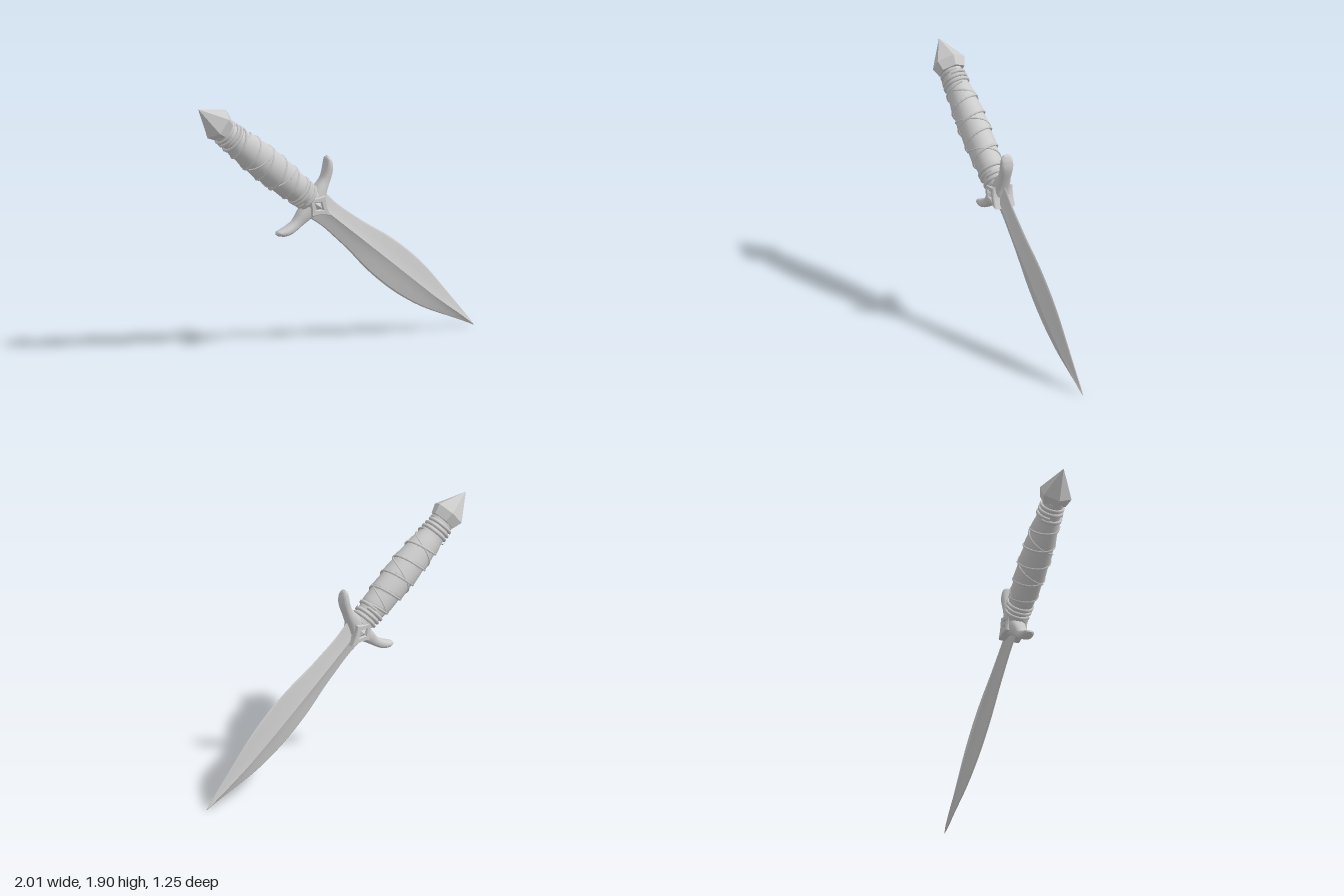
import * as THREE from 'three';
import { toCreasedNormals } from 'three/addons/utils/BufferGeometryUtils.js';

const grey = new THREE.MeshStandardMaterial({ color: 0xcccccc });
const faceted = new THREE.MeshStandardMaterial({ color: 0xcccccc, flatShading: true });

function add(parent, name, geometry, material = grey) {
  const mesh = new THREE.Mesh(geometry, material);
  mesh.name = name;
  parent.add(mesh);
  return mesh;
}

// Skin a row of closed rings and cap both ends.
function loft(rings, crease) {
  const n = rings[0].length, pos = [], index = [];
  rings.forEach((ring) => ring.forEach((p) => pos.push(...p)));
  for (let i = 0; i < rings.length - 1; i++) {
    for (let j = 0; j < n; j++) {
      const a = i * n + j, b = i * n + (j + 1) % n;
      index.push(a, b, a + n, b, b + n, a + n);
    }
  }
  const last = (rings.length - 1) * n;
  for (let j = 1; j < n - 1; j++) {
    index.push(0, j + 1, j, last, last + j, last + j + 1);
  }
  const geo = new THREE.BufferGeometry();
  geo.setAttribute('position', new THREE.Float32BufferAttribute(pos, 3));
  geo.setIndex(index);
  return toCreasedNormals(geo, crease);
}

const smooth = (stations, count) =>
  new THREE.CatmullRomCurve3(stations.map((s) => new THREE.Vector3(...s))).getPoints(count);

// Grip swell along the dagger's length.
const gripStart = -1.25, gripEnd = -0.27, flatten = 0.88;
function gripRadius(x) {
  const t = THREE.MathUtils.clamp((x + 1.2) / 0.9, 0, 1);
  return 0.086 + 0.032 * Math.sin(Math.PI * t);
}

// Cord wound on the grip; turns = 0 would be a straight line.
function cord(x0, x1, turns, phase, radius, lift) {
  const pts = [];
  const steps = Math.ceil(Math.abs(turns) * 24);
  for (let i = 0; i <= steps; i++) {
    const t = i / steps, x = x0 + (x1 - x0) * t;
    const a = phase + t * turns * Math.PI * 2, r = gripRadius(x) + lift;
    pts.push(new THREE.Vector3(x, r * Math.cos(a), r * Math.sin(a) * flatten));
  }
  return new THREE.TubeGeometry(new THREE.CatmullRomCurve3(pts), steps * 2, radius, 6);
}

function buildBlade() {
  // x, half width, half thickness
  const stations = [
    [-0.2, 0.11, 0.036], [-0.06, 0.1, 0.038], [0.1, 0.108, 0.041], [0.24, 0.119, 0.043],
    [0.45, 0.146, 0.044], [0.6, 0.154, 0.044], [0.75, 0.152, 0.043], [0.9, 0.138, 0.04],
    [1.05, 0.112, 0.036], [1.27, 0.06, 0.026], [1.45, 0.016, 0.012], [1.508, 0.002, 0.002],
  ];
  // Half section from edge to edge: hollow flanks up to a narrow spine
  const half = [[1, 0], [0.93, 0.16], [0.5, 0.5], [0.16, 0.78], [0, 1],
    [-0.16, 0.78], [-0.5, 0.5], [-0.93, 0.16]];
  const section = [...half, ...half.map(([y, z]) => [-y, -z])];
  const rings = smooth(stations, 60).map((p) => {
    const rise = 0.02 * THREE.MathUtils.smoothstep(p.x, 1, 1.508);
    return section.map(([y, z]) => [p.x, y * p.y + rise, z * p.z]);
  });
  return loft(rings, 0.3);
}

function buildGuard() {
  // distance from centre, x, half width, half depth
  const arm = [[0.345, -0.342, 0.012, 0.018], [0.325, -0.327, 0.03, 0.042],
    [0.28, -0.295, 0.037, 0.05], [0.2, -0.262, 0.036, 0.046], [0.1, -0.245, 0.054, 0.058]];
  const stations = [
    ...arm.map(([u, ...r]) => [-u, ...r]), [0, -0.225, 0.075, 0.068], ...arm.slice().reverse(),
  ];
  const path = smooth(stations.map(([u, x]) => [x, u, 0]), 60);
  const size = smooth(stations.map(([, , w, d]) => [w, d, 0]), 60);
  const square = (v) => Math.sign(v) * Math.pow(Math.abs(v), 0.75);
  const rings = path.map((p, i) => Array.from({ length: 20 }, (_, j) => {
    const a = (j / 20) * Math.PI * 2;
    return [p.x + size[i].x * square(Math.sin(a)), p.y, size[i].y * square(Math.cos(a))];
  }));
  return loft(rings, 0.8);
}

function buildGrip() {
  const rings = [], turns = 5, sides = 36, steps = 120;
  for (let i = 0; i <= steps; i++) {
    const t = i / steps, x = gripStart + (gripEnd - gripStart) * t;
    const fade = THREE.MathUtils.smoothstep(t, 0.12, 0.22) * (1 - THREE.MathUtils.smoothstep(t, 0.82, 0.9));
    rings.push(Array.from({ length: sides }, (_, j) => {
      // Each turn of the wrap overlaps the next one
      const lap = (((x + 1.1) / 0.7) * turns - j / sides + 10) % 1;
      const a = (j / sides) * Math.PI * 2, r = gripRadius(x) + 0.012 * lap * fade;
      return [x, r * Math.cos(a), r * Math.sin(a) * flatten];
    }));
  }
  return loft(rings, 1);
}

// Four-pointed outline with hollow sides
function star(path, front, side, back, pull) {
  path.moveTo(front, 0);
  path.quadraticCurveTo(front * pull, side * pull, 0, side);
  path.quadraticCurveTo(-back * pull, side * pull, -back, 0);
  path.quadraticCurveTo(-back * pull, -side * pull, 0, -side);
  path.quadraticCurveTo(front * pull, -side * pull, front, 0);
  return path;
}

export function createModel() {
  const model = new THREE.Group();
  model.name = 'dagger';
  model.position.y = 0.95;
  model.rotation.y = THREE.MathUtils.degToRad(31.35);
  const dagger = new THREE.Group();
  dagger.name = 'daggerAlongAxis';
  dagger.rotation.z = THREE.MathUtils.degToRad(-39.04);
  model.add(dagger);
  const body = new THREE.Group();
  body.name = 'bladeAndHilt';
  body.position.y = -0.02;
  dagger.add(body);

  add(body, 'blade', buildBlade());
  add(body, 'grip', buildGrip());

  // Grip wrapping: overlapping leather edge, a counter-wound cord and end bands
  add(body, 'wrapEdge', cord(-1.1, -0.4, 5, 0, 0.009, 0.008));
  add(body, 'crossCord', cord(-1.06, -0.44, -2.5, 1, 0.006, 0.008));
  [-1.205, -1.165, -1.125, -0.395, -0.355, -0.315].forEach((x, i) => {
    add(body, 'gripBand', cord(x - 0.012, x + 0.012, 1.1, i * 1.7, 0.014, 0.004));
  });

  // Guard with its pierced star mount and a gem on each face
  const guard = new THREE.Group();
  guard.name = 'guard';
  guard.position.y = -0.013;
  body.add(guard);
  add(guard, 'guardArms', buildGuard());
  const frame = star(new THREE.Shape(), 0.125, 0.085, 0.1, 0.36);
  frame.holes.push(star(new THREE.Path(), 0.062, 0.042, 0.052, 0.44));
  const frameGeo = new THREE.ExtrudeGeometry(frame, {
    depth: 0.146, bevelThickness: 0.008, bevelSize: 0.005, bevelSegments: 1, curveSegments: 6,
  });
  frameGeo.translate(-0.225, 0, -0.073);
  add(guard, 'starMount', frameGeo);
  for (const side of [1, -1]) {
    const gem = add(guard, 'gem', new THREE.OctahedronGeometry(1), faceted);
    gem.scale.set(0.04, 0.028, 0.022);
    gem.position.set(-0.222, 0, side * 0.066);
  }

  // Six-sided pommel stone
  const profile = [[0, -1.51], [0.125, -1.305], [0.1, -1.235], [0, -1.225]];
  const pommel = add(body, 'pommel', new THREE.LatheGeometry(
    profile.map(([r, x]) => new THREE.Vector2(r, x)), 6, Math.PI / 2), faceted);
  pommel.rotation.z = -Math.PI / 2;
  pommel.position.y = 0.012;
  return model;
}
